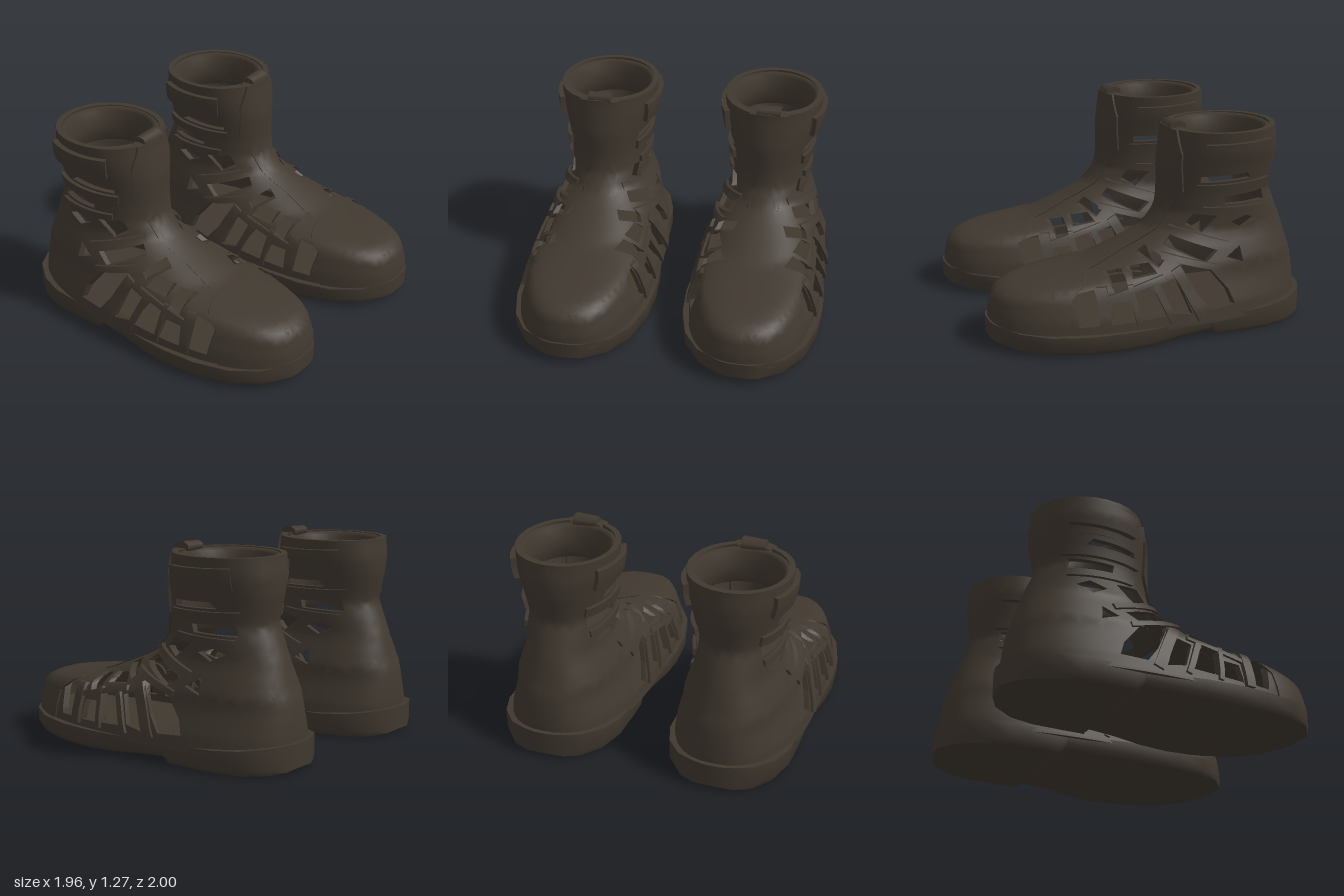
import * as THREE from 'three';
import { toCreasedNormals } from 'three/addons/utils/BufferGeometryUtils.js';

const leather = new THREE.MeshStandardMaterial({ color: 0x40382f });
leather.name = 'dark brown leather';

// Envelope of the boot by height: [y, front z, back z, half width]
const RINGS = [
  [0.10, 0.985, -0.975, 0.42], [0.20, 0.98, -0.97, 0.405], [0.30, 0.955, -0.96, 0.372],
  [0.33, 0.93, -0.955, 0.362], [0.37, 0.84, -0.95, 0.35], [0.39, 0.70, -0.945, 0.343],
  [0.41, 0.56, -0.94, 0.336], [0.43, 0.42, -0.935, 0.33], [0.45, 0.36, -0.925, 0.322],
  [0.52, 0.19, -0.905, 0.292], [0.57, 0.08, -0.89, 0.268], [0.62, -0.01, -0.875, 0.25],
  [0.72, -0.08, -0.835, 0.25], [0.82, -0.095, -0.79, 0.25], [0.90, -0.095, -0.805, 0.26],
  [1.00, -0.095, -0.825, 0.28], [1.10, -0.11, -0.83, 0.305], [1.22, -0.13, -0.815, 0.315],
];

function ring(y) {
  let i = 0;
  while (i < RINGS.length - 2 && RINGS[i + 1][0] < y) i++;
  const a = RINGS[i], b = RINGS[i + 1];
  const t = THREE.MathUtils.clamp((y - a[0]) / (b[0] - a[0]), 0, 1);
  const [zf, zb, hw] = [1, 2, 3].map((k) => a[k] + (b[k] - a[k]) * t);
  return { zc: (zf + zb) / 2, len: (zf - zb) / 2, hw, n: THREE.MathUtils.lerp(2.5, 2.05, THREE.MathUtils.smoothstep(y, 0.35, 0.75)) };
}

// Angle u runs round one half of the boot, from the front (0) to the back (PI)
function onSurface(u, y, off) {
  const r = ring(y), c = Math.cos(u), s = Math.sin(u);
  return new THREE.Vector3(
    (r.hw + off) * (s < 1e-9 ? 0 : Math.pow(s, 2 / r.n)),
    y,
    r.zc + (r.len + off) * Math.sign(c) * Math.pow(Math.abs(c), 2 / r.n));
}
function surfaceNormal(u, y) {
  const a = THREE.MathUtils.clamp(u, 0.03, Math.PI - 0.03);
  const du = onSurface(a + 0.02, y, 0).sub(onSurface(a - 0.02, y, 0));
  const dy = onSurface(a, y + 0.02, 0).sub(onSurface(a, y - 0.02, 0));
  return du.cross(dy).normalize();
}
function fromSide(z, y, min = 0) {
  const r = ring(y), t = THREE.MathUtils.clamp((z - r.zc) / r.len, -1, 1);
  return new THREE.Vector2(Math.max(min, Math.acos(Math.sign(t) * Math.pow(Math.abs(t), r.n / 2))), y);
}
function fromFront(x, y) {
  const r = ring(y);
  return new THREE.Vector2(Math.asin(Math.pow(Math.min(1, x / r.hw), r.n / 2)), y);
}

// Adds points along the edges of an outline, then converts them to (u, y)
function outline(pts, convert, steps = 6) {
  const out = [];
  pts.forEach((p, i) => {
    const q = pts[(i + 1) % pts.length];
    for (let k = 0; k < steps; k++) {
      const t = k / steps;
      out.push(convert(p[0] + (q[0] - p[0]) * t, p[1] + (q[1] - p[1]) * t));
    }
  });
  return out;
}

function geometry(pos) {
  const g = new THREE.BufferGeometry();
  g.setAttribute('position', new THREE.Float32BufferAttribute(pos, 3));
  return g;
}

// A leather piece wrapped on both halves of the envelope between two offsets
function wrap(points, holes, inner, outer) {
  const shape = new THREE.Shape(points);
  holes.forEach((h) => shape.holes.push(new THREE.Path(h)));
  const flat = new THREE.ExtrudeGeometry(shape, { depth: 1, bevelEnabled: false, steps: 1 });
  const P = flat.attributes.position, pos = [], nor = [];
  const map = (v) => onSurface(v.x, v.y, inner + (outer - inner) * v.z);
  const emit = (tri, m) => {
    const face = m[1].clone().sub(m[0]).cross(m[2].clone().sub(m[0])).normalize();
    const isWall = tri[0].z !== tri[1].z || tri[1].z !== tri[2].z;
    const n = tri.map((v) => (isWall ? face : surfaceNormal(v.x, v.y).multiplyScalar(v.z > 0.5 ? 1 : -1)));
    [[1, [0, 1, 2]], [-1, [0, 2, 1]]].forEach(([side, order]) => order.forEach((i) => {
      pos.push(side * m[i].x, m[i].y, m[i].z);
      nor.push(side * n[i].x, n[i].y, n[i].z);
    }));
  };
  const split = (tri, depth) => {
    const m = tri.map(map);
    const d = [0, 1, 2].map((i) => m[i].distanceTo(m[(i + 1) % 3]));
    const k = d.indexOf(Math.max(...d));
    if (d[k] < 0.08 || depth > 14) return emit(tri, m);
    const a = tri[k], b = tri[(k + 1) % 3], c = tri[(k + 2) % 3];
    const mid = a.clone().add(b).multiplyScalar(0.5);
    split([a, mid, c], depth + 1);
    split([mid, b, c], depth + 1);
  };
  for (let i = 0; i < P.count; i += 3) {
    split([0, 1, 2].map((j) => new THREE.Vector3().fromBufferAttribute(P, i + j)), 0);
  }
  const g = geometry(pos);
  g.setAttribute('normal', new THREE.Float32BufferAttribute(nor, 3));
  return g;
}

// Sole block from cross-sections [z, half width, bottom, top]
function loft(stations) {
  const pos = [];
  const rows = stations.map(([z, w, b, t]) => [
    [w, t, z], [-w, t, z], [-w, b + 0.03, z], [-w * 0.94, b, z], [w * 0.94, b, z], [w, b + 0.03, z]]);
  const tri = (...p) => p.forEach((v) => pos.push(...v));
  for (let i = 0; i < rows.length - 1; i++) {
    for (let j = 0; j < 6; j++) {
      const k = (j + 1) % 6, A = rows[i], B = rows[i + 1];
      tri(A[j], A[k], B[k]);
      tri(A[j], B[k], B[j]);
    }
  }
  const first = rows[0], last = rows[rows.length - 1];
  for (let j = 1; j < 5; j++) {
    tri(last[0], last[j], last[j + 1]);
    tri(first[0], first[j + 1], first[j]);
  }
  return toCreasedNormals(geometry(pos), 0.95);
}

// Cut-outs between the straps, as side outlines (z, y)
const HOLES = [
  [[-0.27, 0.95], [-0.53, 0.96], [-0.56, 0.925], [-0.27, 0.915]],
  [[-0.41, 0.82], [-0.66, 0.83], [-0.675, 0.77], [-0.42, 0.775]],
  [[-0.45, 0.66], [-0.55, 0.69], [-0.62, 0.66], [-0.53, 0.62]],
  [[-0.18, 0.66], [-0.23, 0.72], [-0.37, 0.70], [-0.26, 0.615]],
  [[-0.04, 0.55], [-0.09, 0.595], [-0.33, 0.51], [-0.25, 0.455]],
  [[-0.40, 0.465], [-0.49, 0.515], [-0.50, 0.43]],
  [[-0.10, 0.455], [-0.28, 0.40], [-0.38, 0.28], [-0.41, 0.20], [-0.26, 0.19], [-0.19, 0.28]],
  [[0.13, 0.51], [0.07, 0.545], [-0.01, 0.49], [0.04, 0.45]],
  [[0.04, 0.35], [-0.055, 0.38], [-0.13, 0.18], [-0.02, 0.20]],
  [[0.21, 0.455], [0.09, 0.47], [0.06, 0.42], [0.20, 0.405]],
  [[0.21, 0.34], [0.12, 0.355], [0.01, 0.19], [0.19, 0.18]],
  [[0.35, 0.425], [0.25, 0.44], [0.25, 0.36], [0.32, 0.33]],
  [[0.35, 0.28], [0.25, 0.285], [0.22, 0.175], [0.36, 0.17]],
  [[0.58, 0.335], [0.45, 0.36], [0.44, 0.175], [0.55, 0.175]],
];

// Raised straps: start z, y, end z, y, width, height above the surface
const STRAPS = [
  [-0.24, 0.87, -0.70, 0.88, 0.06, 0.025], [-0.28, 0.745, -0.68, 0.73, 0.04, 0.022],
  [-0.09, 0.637, -0.42, 0.53, 0.04, 0.022], [0.0, 0.51, -0.33, 0.415, 0.035, 0.02],
  [-0.06, 0.44, -0.20, 0.14, 0.065, 0.02], [0.085, 0.37, -0.01, 0.14, 0.035, 0.02],
  [0.23, 0.38, 0.20, 0.14, 0.03, 0.02], [0.40, 0.38, 0.40, 0.14, 0.06, 0.022],
  [0.40, 0.31, 0.02, 0.40, 0.03, 0.018], [-0.28, 1.09, -0.68, 1.10, 0.13, 0.034],
];

function strap([z0, y0, z1, y1, width, height]) {
  const l = Math.hypot(z1 - z0, y1 - y0);
  const nz = (-(y1 - y0) / l) * width / 2, ny = ((z1 - z0) / l) * width / 2;
  const pts = [[z0 + nz, y0 + ny], [z1 + nz, y1 + ny], [z1 - nz, y1 - ny], [z0 - nz, y0 - ny]];
  return wrap(outline(pts, fromSide), [], -0.01, height);
}

function createShoe() {
  const shoe = new THREE.Group();
  const add = (name, geo) => {
    const mesh = new THREE.Mesh(geo, leather);
    mesh.name = name;
    shoe.add(mesh);
    return mesh;
  };

  // Upper with its cut-outs
  const holes = HOLES.map((h) => {
    const c = [0, 1].map((k) => h.reduce((s, p) => s + p[k], 0) / h.length);
    const grown = h.map((p) => [c[0] + (p[0] - c[0]) * 1.1, c[1] + (p[1] - c[1]) * 1.1]);
    return outline(grown, (z, y) => fromSide(z, y, 0.06));
  });
  const body = outline([[0, 0.1], [Math.PI, 0.1], [Math.PI, 1.22], [0, 1.22]], (u, y) => new THREE.Vector2(u, y), 14);
  add('upper', wrap(body, holes, -0.035, 0));

  // Toe cap, tongue and straps laid over it
  const cap = [[1.2, 0.1], [0.63, 0.1], [0.61, 0.3], [0.52, 0.37], [0.43, 0.428], [1.2, 0.43]];
  add('toeCap', wrap(outline(cap, fromSide), [], -0.01, 0.008));
  const tongue = [[0, 0.43], [0.12, 0.43], [0.09, 0.52], [0.1, 0.72], [0.165, 0.85], [0.17, 1.08], [0.12, 1.22], [0, 1.23]];
  add('tongue', wrap(outline(tongue, fromFront), [], -0.06, 0.016));
  STRAPS.forEach((s) => add('strap', strap(s)));

  // Padded collar lining, round inside
  const pad = [[0.295, 0.985], [0.25, 1.0], [0.247, 1.1], [0.262, 1.195], [0.285, 1.215], [0.31, 1.2]];
  const lining = add('collarLining', new THREE.LatheGeometry(pad.reverse().map((p) => new THREE.Vector2(...p)), 28));
  lining.position.z = -0.48;
  lining.scale.x = 0.98;

  // Pull tab on top of the tongue
  const tab = add('pullTab', new THREE.CylinderGeometry(0.045, 0.055, 0.15, 7));
  tab.rotation.z = Math.PI / 2;
  tab.scale.x = 0.7;
  tab.position.set(0, 1.228, -0.172);

  // Sole and heel
  add('sole', loft([
    [-0.6, 0.37, 0.04, 0.13], [-0.28, 0.385, 0.035, 0.125], [-0.1, 0.4, 0.025, 0.12], [0.1, 0.43, 0.01, 0.12],
    [0.28, 0.44, 0.003, 0.12], [0.5, 0.425, 0.005, 0.12], [0.72, 0.37, 0.015, 0.125],
    [0.88, 0.27, 0.03, 0.135], [0.985, 0.12, 0.045, 0.15], [1, 0.06, 0.05, 0.15]]));
  add('heel', loft([
    [-1, 0.05, 0.025, 0.17], [-0.98, 0.13, 0.012, 0.17], [-0.93, 0.23, 0.006, 0.165], [-0.8, 0.33, 0, 0.15],
    [-0.65, 0.378, 0, 0.14], [-0.45, 0.387, 0, 0.13], [-0.31, 0.388, 0, 0.125], [-0.27, 0.387, 0.035, 0.125]]));
  return shoe;
}

export function createModel() {
  const model = new THREE.Group();
  model.name = 'strappedBoots';
  const left = createShoe();
  left.name = 'leftShoe';
  left.position.x = 0.54;
  const right = left.clone();
  right.name = 'rightShoe';
  right.position.x = -0.54;
  model.add(left, right);
  return model;
}
